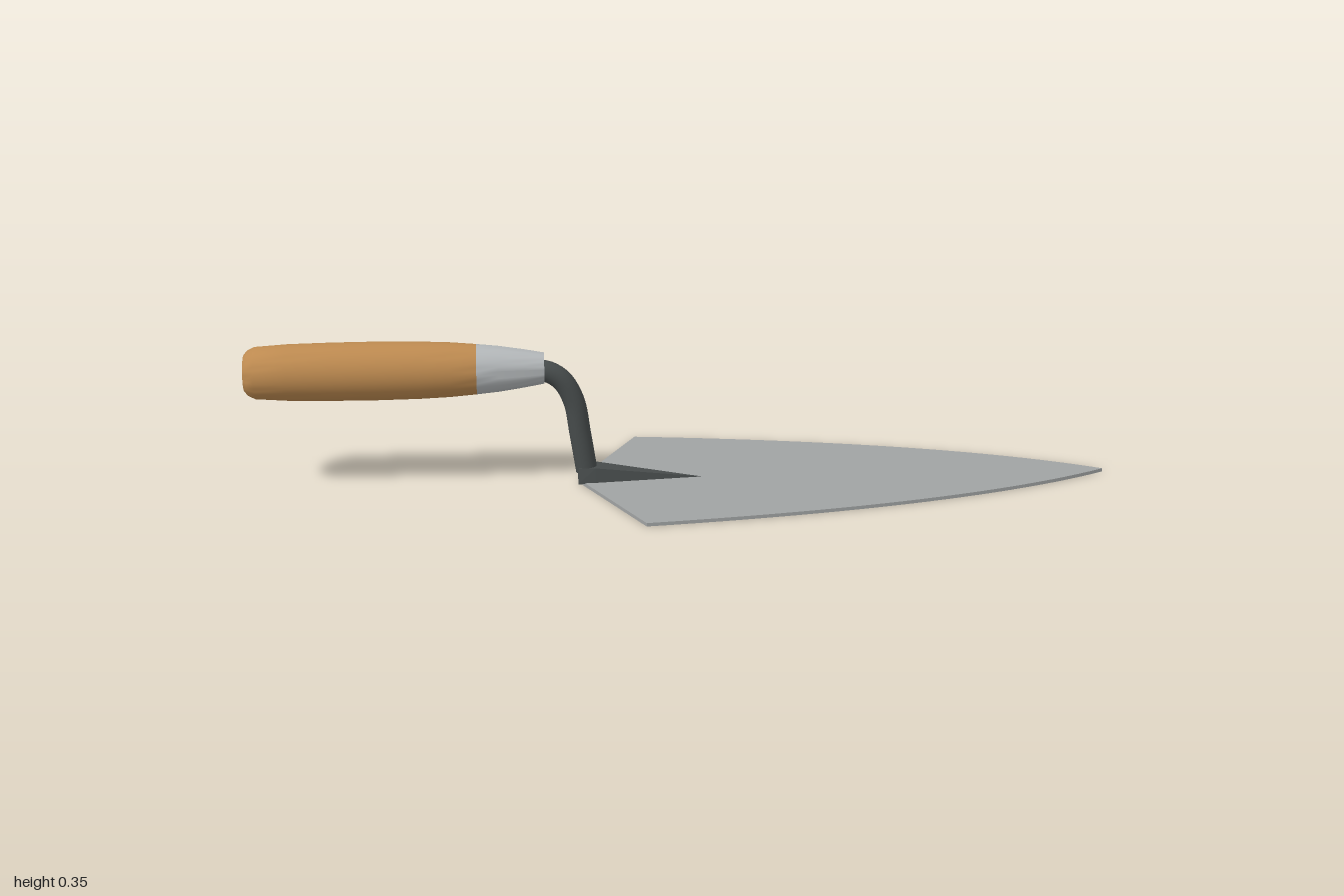
import * as THREE from 'three';
import { toCreasedNormals } from 'three/addons/utils/BufferGeometryUtils.js';
import { ConvexGeometry } from 'three/addons/geometries/ConvexGeometry.js';

const material = (name, color) => new THREE.MeshStandardMaterial({ name, color });

export function createModel() {
  const wood = material('wood', 0xbd8a50);
  const ferruleMetal = material('ferrule metal', 0xb4b8ba);
  const darkSteel = material('dark steel', 0x484d4d);
  const bladeSteel = material('blade steel', 0xa0a3a3);

  const trowel = new THREE.Group();
  trowel.name = 'trowel';
  const add = (name, geometry, mat) => {
    const mesh = new THREE.Mesh(geometry, mat);
    mesh.name = name;
    trowel.add(mesh);
    return mesh;
  };

  // Blade: thin plate with curved sides and a pointed heel
  const outline = new THREE.Shape();
  outline.moveTo(-0.24, 0);
  outline.lineTo(-0.095, -0.31);
  outline.quadraticCurveTo(0.64, -0.22, 1, 0);
  outline.quadraticCurveTo(0.64, 0.22, -0.095, 0.31);
  outline.closePath();
  const plate = new THREE.ExtrudeGeometry(outline, { depth: 0.008, bevelEnabled: false, curveSegments: 24 });
  plate.rotateX(-Math.PI / 2);
  add('blade', plate, bladeSteel);

  // Tang: faceted wedge tapering to a point on the blade
  const corners = [new THREE.Vector3(0.05, 0.008, 0)];
  for (const s of [-1, 1]) {
    corners.push(
      new THREE.Vector3(-0.24, 0.006, s * 0.033),
      new THREE.Vector3(-0.2, 0.006, s * 0.031),
      new THREE.Vector3(-0.238, 0.042, s * 0.026),
      new THREE.Vector3(-0.2, 0.042, s * 0.026)
    );
  }
  add('tang', new ConvexGeometry(corners), darkSteel);

  // Shank: bent round bar from the ferrule down to the tang
  const bend = new THREE.CatmullRomCurve3(
    [[-0.35, 0.275], [-0.31, 0.272], [-0.275, 0.25], [-0.248, 0.2], [-0.234, 0.12], [-0.22, 0.03]]
      .map(([x, y]) => new THREE.Vector3(x, y, 0))
  );
  add('shank', new THREE.TubeGeometry(bend, 28, 0.025, 24), darkSteel);

  // Handle and ferrule: turned profiles [x, radius] laid along x
  const turned = (name, profile, mat) => {
    const points = profile.map(([x, r]) => new THREE.Vector2(r, x));
    const geometry = new THREE.LatheGeometry(points, 36).rotateZ(-Math.PI / 2);
    add(name, toCreasedNormals(geometry, 0.5), mat).position.y = 0.28;
  };
  turned('handle', [
    [-1, 0], [-1, 0.042], [-0.992, 0.052], [-0.975, 0.06], [-0.9, 0.065], [-0.8, 0.067],
    [-0.7, 0.0675], [-0.6, 0.066], [-0.53, 0.063], [-0.47, 0.058], [-0.47, 0]
  ], wood);
  turned('ferrule', [
    [-0.47, 0], [-0.47, 0.058], [-0.42, 0.053], [-0.36, 0.044], [-0.315, 0.036], [-0.315, 0]
  ], ferruleMetal);

  return trowel;
}
